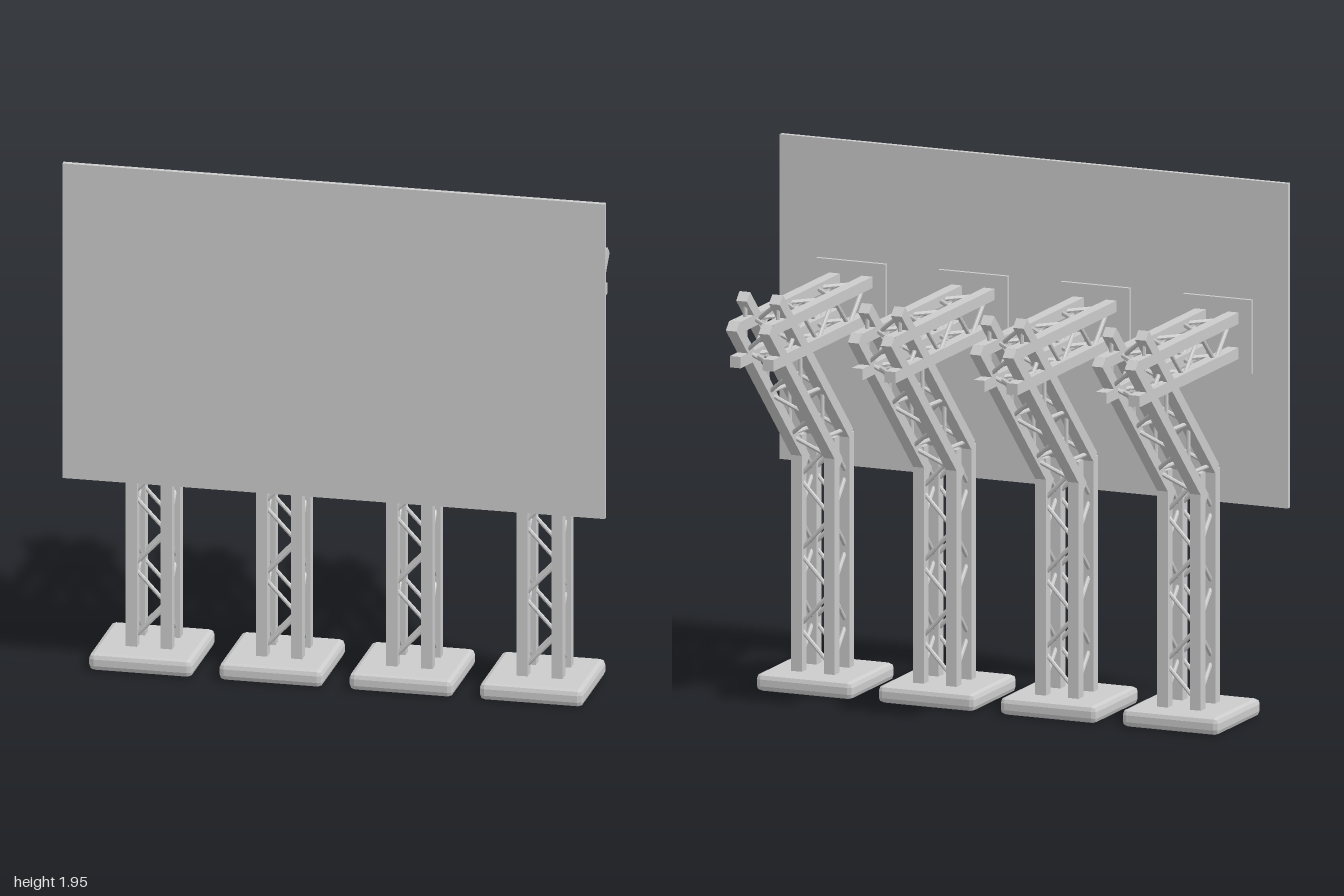
import * as THREE from 'three';
import { RoundedBoxGeometry } from 'three/addons/geometries/RoundedBoxGeometry.js';

const material = new THREE.MeshStandardMaterial({ color: 0xcccccc, flatShading: true });
const LENGTH = 0.872;   // length of one truss section
const HALF = 0.0645;    // chord centre to truss axis
const CHORD = 0.042;    // chord thickness
const ROD = 0.008;      // bracing radius
const BAYS = 6;

function addMesh(parent, name, geometry, x, y, z) {
  const mesh = new THREE.Mesh(geometry, material);
  mesh.name = name;
  mesh.position.set(x, y, z);
  parent.add(mesh);
  return mesh;
}

function addRod(parent, a, b) {
  const dir = b.clone().sub(a);
  const mid = a.clone().add(b).multiplyScalar(0.5);
  const geometry = new THREE.CylinderGeometry(ROD, ROD, dir.length(), 8);
  const rod = addMesh(parent, 'brace', geometry, mid.x, mid.y, mid.z);
  rod.quaternion.setFromUnitVectors(new THREE.Vector3(0, 1, 0), dir.normalize());
}

// Square truss running along +y: four chords and a zigzag of rods on each face.
// startZ is the side (+1 or -1) on which the zigzag of the side faces begins.
function createTruss(name, startZ, frontLength = LENGTH) {
  const truss = new THREE.Group();
  truss.name = name;
  for (const sx of [-1, 1]) {
    for (const sz of [-1, 1]) {
      const len = sz > 0 ? frontLength : LENGTH;
      addMesh(truss, 'chord', new THREE.BoxGeometry(CHORD, len, CHORD), sx * HALF, len / 2, sz * HALF);
    }
  }
  const margin = 0.024;
  const pitch = (LENGTH - 2 * margin) / BAYS;
  for (let i = 0; i < BAYS; i++) {
    const flip = i % 2 ? -1 : 1;
    const y0 = margin + i * pitch;
    const y1 = y0 + pitch;
    for (const side of [-HALF, HALF]) {
      const z = startZ * flip * HALF;
      addRod(truss, new THREE.Vector3(side, y0, z), new THREE.Vector3(side, y1, -z));
      const x = -flip * HALF;
      addRod(truss, new THREE.Vector3(x, y0, side), new THREE.Vector3(-x, y1, side));
    }
  }
  return truss;
}

// One support: base, upright, sloping arm, horizontal arm and mounting plate
function createSupport() {
  const support = new THREE.Group();
  support.name = 'support';

  const baseGeometry = new RoundedBoxGeometry(0.383, 0.065, 0.383, 1, 0.02);
  baseGeometry.computeVertexNormals();
  addMesh(support, 'base', baseGeometry, -0.006, 0.0325, 0.202);

  const upright = createTruss('uprightTruss', -1, 0.862);
  upright.position.set(0, 0.065, 0.192);

  const slope = createTruss('slopingTruss', 1);
  slope.position.set(0, 0.878, 0.209);
  slope.rotation.x = -Math.PI / 4;

  const arm = createTruss('horizontalTruss', 1);
  arm.position.set(0, 1.377, 0.44);
  arm.rotation.x = -Math.PI / 2;

  support.add(upright, slope, arm);
  addMesh(support, 'mountingPlate', new THREE.BoxGeometry(0.272, 0.272, 0.016), 0, 1.376, 0.448);
  return support;
}

export function createModel() {
  const model = new THREE.Group();
  model.name = 'billboard';
  addMesh(model, 'panel', new THREE.BoxGeometry(2, 1.195, 0.02), 0, 1.3525, 0.465);
  for (let i = 0; i < 4; i++) {
    const support = createSupport();
    support.position.x = -0.727 + i * 0.48;
    model.add(support);
  }
  return model;
}
